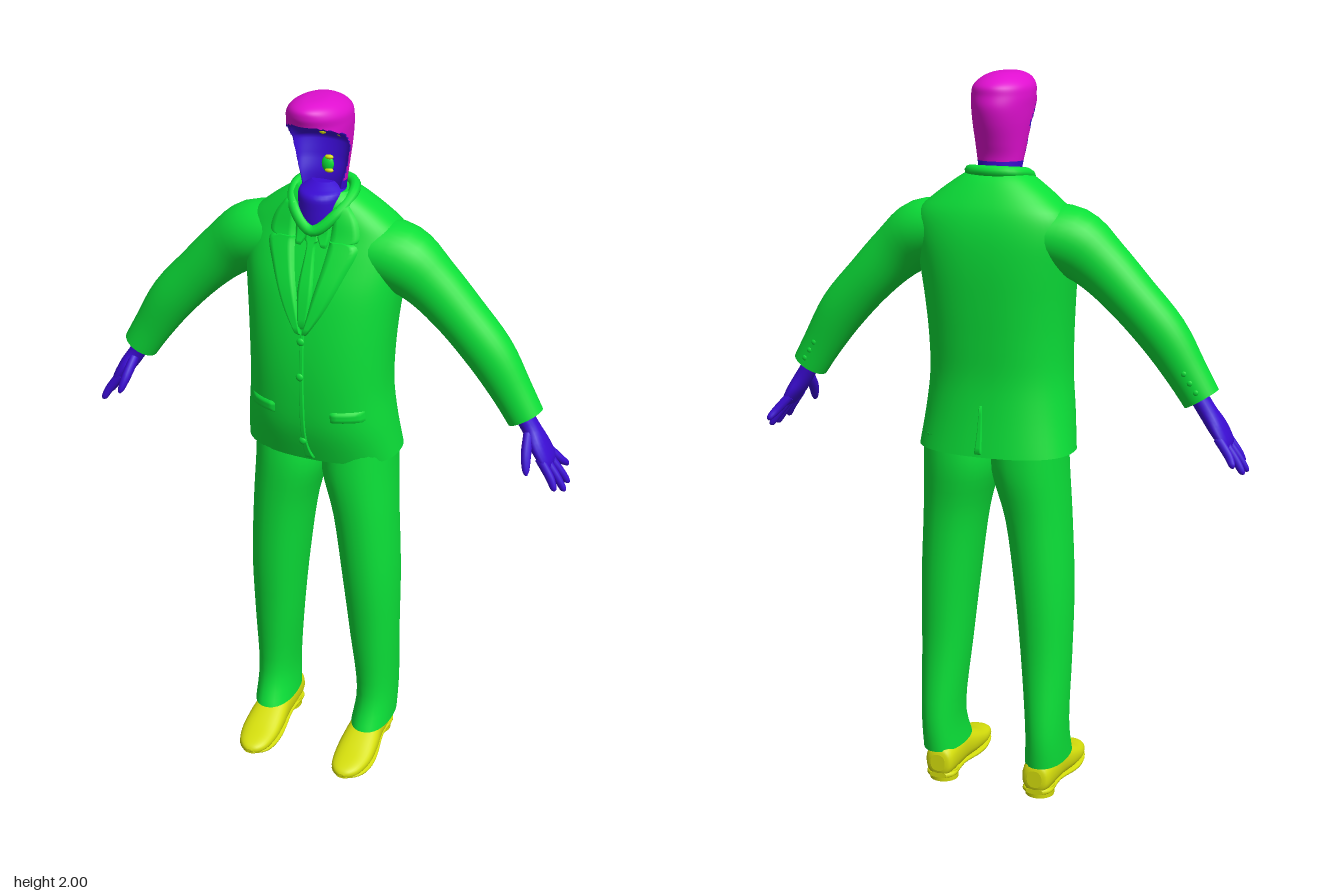
import * as THREE from 'three';

const V = (x, y, z) => new THREE.Vector3(x, y, z);
const X = V(1, 0, 0), Y = V(0, 1, 0), Z = V(0, 0, 1);
const material = (name, color) => Object.assign(new THREE.MeshStandardMaterial({ color }), { name });

// Catmull-Rom resampling of rows of numbers
function smooth(rows, sub = 4) {
  const out = [], at = i => rows[Math.max(0, Math.min(rows.length - 1, i))];
  for (let i = 0; i < rows.length - 1; i++)
    for (let s = 0; s < sub; s++) {
      const t = s / sub;
      out.push(at(i).map((b, k) => {
        const a = at(i - 1)[k], c = at(i + 1)[k], d = at(i + 2)[k];
        return b + 0.5 * t * (c - a + t * (2 * a - 5 * b + 4 * c - d + t * (3 * (b - c) + d - a)));
      }));
    }
  out.push(rows[rows.length - 1]);
  return out;
}

function build(pos, index) {
  const g = new THREE.BufferGeometry();
  g.setAttribute('position', new THREE.Float32BufferAttribute(pos, 3));
  g.setIndex(index);
  g.computeVertexNormals();
  return g;
}

// Loft of rounded sections [x, y, z, acrossRadius, hintRadius]; power over 2 is boxier
function loft(rows, { dir = null, hint = Z, power = 2, seg = 32, sub = 4 } = {}) {
  const r = smooth(rows, sub), pos = [], index = [], c = r.map(q => V(q[0], q[1], q[2]));
  const bend = t => Math.sign(t) * Math.abs(t) ** (2 / power);
  const rings = r.map((q, i) => {
    const d = dir || c[Math.min(i + 1, c.length - 1)].clone().sub(c[Math.max(i - 1, 0)]).normalize();
    const v = hint.clone().addScaledVector(d, -hint.dot(d)).normalize();
    const u = v.clone().cross(d);
    return Array.from({ length: seg }, (_, j) => {
      const a = j / seg * Math.PI * 2;
      return c[i].clone().addScaledVector(u, q[3] * bend(Math.cos(a))).addScaledVector(v, q[4] * bend(Math.sin(a)));
    });
  });
  const n = rings.length;
  const all = [Array(seg).fill(c[0]), rings[0], ...rings, rings[n - 1], Array(seg).fill(c[n - 1])];
  all.forEach(ring => ring.forEach(p => pos.push(p.x, p.y, p.z)));
  for (let i = 0; i < all.length - 1; i++) {
    if (i === 1 || i === all.length - 3) continue;
    for (let j = 0; j < seg; j++) {
      const a = i * seg + j, b = i * seg + (j + 1) % seg;
      index.push(a, b, a + seg, b, b + seg, a + seg);
    }
  }
  return build(pos, index);
}

// Jacket sections: [y, halfWidth, zFront, zBack]
const jacket = [[1, .218, .09, -.192], [1.1, .205, .12, -.18], [1.2, .195, .13, -.173], [1.3, .196, .13, -.178],
  [1.4, .203, .12, -.185], [1.5, .214, .1, -.19], [1.58, .222, .07, -.187], [1.64, .212, .045, -.175],
  [1.685, .165, .035, -.155], [1.725, .11, .025, -.13], [1.745, .078, .01, -.11]];
const POWER = 2.4, fineJacket = smooth(jacket);

// Height of the jacket surface at (x, y); face is 1 for front, -1 for back
function jacketZ(x, y, face = 1) {
  let i = 0;
  while (i < fineJacket.length - 2 && fineJacket[i + 1][0] < y) i++;
  const a = fineJacket[i], b = fineJacket[i + 1], t = (y - a[0]) / (b[0] - a[0]);
  const [, w, f, k] = a.map((q, n) => q + (b[n] - q) * t);
  return (f + k) / 2 + face * (f - k) / 2 * Math.max(0, 1 - Math.abs(x / w) ** POWER) ** (1 / POWER);
}

// Raised cloth panel that hugs the jacket: rows [y, xFrom, xTo] from top to bottom
function panel(rows, side = 1, height = .008, face = 1) {
  const r = smooth(rows, 5), cols = 8, pos = [], index = [];
  r.forEach(([y, a, b], i) => {
    for (let j = 0; j <= cols; j++) {
      const x = side * (a + (b - a) * j / cols);
      const edge = i === 0 || i === r.length - 1 || j === 0 || j === cols;
      pos.push(x, y, jacketZ(x, y, face) + face * (edge ? -.002 : height));
    }
  });
  for (let i = 0; i < r.length - 1; i++)
    for (let j = 0; j < cols; j++) {
      const a = i * (cols + 1) + j, c = a + cols + 1;
      if (side * face > 0) index.push(a, c, a + 1, a + 1, c, c + 1);
      else index.push(a, a + 1, c, a + 1, c + 1, c);
    }
  return build(pos, index);
}

export function createModel() {
  const root = new THREE.Group();
  root.name = 'suitedMan';
  const suit = material('suitGreen', 0x0be038), skin = material('skinBlue', 0x3a0bd2);
  const hair = material('hairMagenta', 0xe00fd0), leather = material('shoeYellow', 0xd6df0c);
  skin.side = hair.side = THREE.DoubleSide;
  const add = (name, geo, mat) => {
    const m = new THREE.Mesh(geo, mat);
    m.name = name;
    root.add(m);
    return m;
  };
  const knob = (name, mat, x, y, z, r, sy = 1, sz = .5) =>
    add(name, new THREE.SphereGeometry(r, 12, 8).scale(1, sy, sz).translate(x, y, z), mat);

  // Jacket body
  add('jacket', loft(jacket.map(([y, w, f, b]) => [0, y, (f + b) / 2, w, (f - b) / 2]),
    { dir: Y, power: POWER, seg: 56 }), suit);
  add('tie', panel([[1.665, -.016, .016], [1.63, -.023, .023], [1.61, -.013, .013], [1.5, -.022, .022], [1.4, -.012, .012]]), suit);
  add('frontOverlap', panel([[1.4, -.004, .008], [1.2, -.004, .01], [1.06, -.004, .012], [1.005, -.004, .03]], 1, .005), suit);
  add('backVent', panel([[1.14, -.004, .004], [1.07, -.006, .008], [1.005, -.008, .016]], 1, .006, -1), suit);
  for (const y of [1.37, 1.27, 1.07]) knob('jacketButton', suit, .0, y, jacketZ(0, y) + .005, .011);

  // Collar running round the neck
  const half = [[.055, 1.748, -.092], [.08, 1.738, -.035], [.06, 1.7, .025]];
  const ring = [[0, 1.75, -.108], ...half, [0, 1.652, .052], ...half.map(([x, y, z]) => [-x, y, z]).reverse()];
  add('collar', new THREE.TubeGeometry(new THREE.CatmullRomCurve3(ring.map(p => V(...p)), true), 48, .015, 10, true), suit);

  for (const side of [1, -1]) {
    const label = side > 0 ? 'left' : 'right';
    const flip = (rows, dx = 0) => rows.map(([x, ...rest]) => [x * side + dx, ...rest]);

    // Lapels, shirt collar and pockets
    add(label + 'UpperLapel', panel([[1.72, .055, .085], [1.68, .05, .115], [1.635, .047, .125], [1.628, .047, .1]], side), suit);
    add(label + 'Lapel', panel([[1.632, .047, .085], [1.615, .045, .125], [1.55, .034, .102], [1.46, .014, .06], [1.385, 0, .012]], side, .01), suit);
    add(label + 'ShirtCollar', panel([[1.69, .012, .05], [1.65, .006, .05], [1.61, .03, .042]], side), suit);
    add(label + 'PocketFlap', panel([[1.175, .075, .165], [1.14, .078, .168]], side, .006), suit);

    // Sleeve
    add(label + 'Sleeve', loft(flip([[.11, 1.59, -.06, .08, .1], [.21, 1.57, -.055, .092, .092], [.29, 1.515, -.055, .078, .072],
      [.375, 1.435, -.055, .069, .065], [.46, 1.343, -.052, .066, .06], [.525, 1.247, -.05, .056, .05],
      [.567, 1.18, -.048, .051, .047]])), suit);
    for (let i = 0; i < 3; i++)
      knob('cuffButton', suit, side * (.562 - i * .016), 1.205 + i * .024, -.094 - i * .002, .008);

    // Hand
    add(label + 'Palm', loft(flip([[.55, 1.2, -.05, .024, .03], [.583, 1.15, -.05, .024, .03], [.61, 1.11, -.045, .023, .045],
      [.635, 1.072, -.045, .017, .047], [.645, 1.056, -.045, .008, .036]]), { seg: 20 }), skin);
    const fingers = [[-.01, .672, 1.005, .004], [-.034, .689, .99, -.03], [-.058, .688, .993, -.07], [-.08, .672, 1.02, -.113]];
    fingers.forEach(([z0, x, y, z], i) => add(label + 'Finger' + (i + 1), loft(flip([
      [.622, 1.085, z0, .013, .012], [(.637 + x) / 2, (1.075 + y) / 2, (z0 + z) / 2, .012, .011],
      [x - .003, y + .008, z, .009, .008], [x, y, z, .003, .003]]), { seg: 10 }), skin));
    add(label + 'Thumb', loft(flip([[.583, 1.14, -.03, .014, .016], [.59, 1.1, .008, .014, .015],
      [.598, 1.066, .03, .01, .01], [.602, 1.053, .037, .003, .003]]), { seg: 10 }), skin);

    // Trouser leg
    add(label + 'TrouserLeg', loft(flip([[.155, .095, -.035, .058, .106], [.158, .2, -.056, .055, .092], [.15, .4, -.042, .067, .092],
      [.14, .6, -.034, .078, .104], [.122, .8, -.033, .087, .113], [.1, .94, -.04, .102, .124], [.1, 1.04, -.045, .1, .12]], .008),
      { dir: Y, power: 2.2 }), suit);

    // Shoe upper, sole and heel
    add(label + 'Shoe', loft(flip([[.147, .06, -.138, .025, .022], [.147, .062, -.125, .045, .04], [.148, .066, -.06, .052, .046],
      [.149, .062, 0, .05, .048], [.15, .05, .06, .04, .055], [.15, .038, .12, .028, .055], [.148, .033, .17, .02, .044],
      [.147, .031, .195, .013, .026], [.147, .03, .204, .004, .008]], .006), { dir: Z, hint: X, power: 2.4, seg: 28 }), leather);
    add(label + 'Sole', loft(flip([[.147, .022, -.136, .008, .025], [.147, .022, -.11, .01, .044], [.148, .022, -.03, .008, .042],
      [.15, .014, .06, .009, .055], [.15, .013, .12, .009, .056], [.148, .018, .17, .008, .044], [.147, .024, .202, .005, .014]], .006),
      { dir: Z, hint: X, power: 3, seg: 24 }), leather);
    add(label + 'Heel', new THREE.CylinderGeometry(.043, .041, .03, 24).translate(side * .147 + .006, .015, -.09), leather);

    knob(label + 'Eye', leather, .012 + side * .024, 1.885, -.05, .011, .7, .6);
  }

  // Neck
  add('neck', loft([[0, 1.62, -.02, .066, .068], [0, 1.7, -.02, .064, .07], [0, 1.738, -.022, .062, .07],
    [0, 1.752, -.032, .054, .055], [0, 1.765, -.038, .035, .035]], { dir: Y }), skin);

  // Head: hair shell whose front is folded inwards below the fringe to form a hollow face
  const head = loft([[0, 1.735, -.035, .056, .05], [0, 1.78, -.03, .063, .055], [0, 1.82, -.02, .07, .076], [0, 1.87, -.008, .078, .104],
    [0, 1.91, -.006, .081, .113], [0, 1.94, -.006, .082, .108], [0, 1.965, 0, .078, .108], [0, 1.985, .013, .06, .09],
    [0, 1.997, .018, .033, .055], [0, 2, .02, .004, .006]], { dir: Y, seg: 64, sub: 6 });
  const cuts = [[1.73, -.012], [1.82, -.014], [1.87, -.01], [1.91, .025], [1.94, .09], [1.955, .2], [2.1, .2]];
  const cutAt = y => {
    const i = Math.max(1, cuts.findIndex(c => c[0] >= y)), [a, b] = [cuts[i - 1], cuts[i]];
    return a[1] + (b[1] - a[1]) * (y - a[0]) / (b[0] - a[0]);
  };
  const p = head.attributes.position, index = Array.from(head.index.array), parts = { hair: [], face: [] };
  for (let i = 0; i < index.length; i += 3) {
    const tri = index.slice(i, i + 3);
    const front = tri.some(k => p.getZ(k) > cutAt(p.getY(k)));
    parts[front || tri.some(k => p.getY(k) < 1.77) ? 'face' : 'hair'].push(...tri);
  }
  for (let k = 0; k < p.count; k++) {
    const over = p.getZ(k) - cutAt(p.getY(k));
    if (over > 0) p.setZ(k, p.getZ(k) - 1.5 * over);
  }
  add('hair', build(p.array, parts.hair), hair);
  add('face', build(p.array, parts.face), skin);

  // Mouth
  knob('tongue', suit, .008, 1.805, -.036, .017, 1.3, .6);
  for (const y of [1.79, 1.826]) knob('teeth', leather, .014, y, -.03, .012, .5, .6);
  return root;
}
